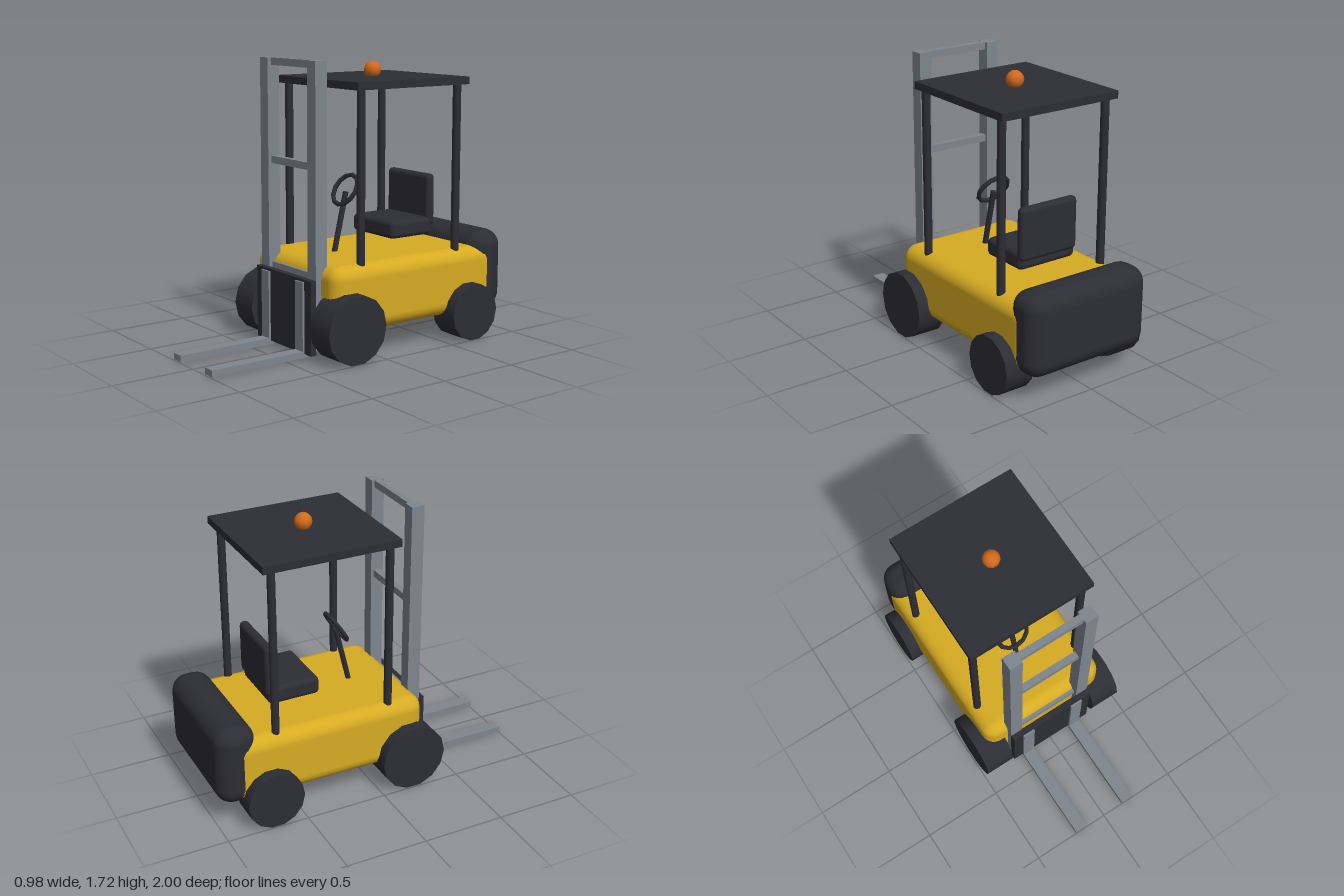
import * as THREE from 'three';
import { RoundedBoxGeometry } from 'three/addons/geometries/RoundedBoxGeometry.js';

const material = (name, color) => {
  const m = new THREE.MeshStandardMaterial({ color });
  m.name = name;
  return m;
};

export function createModel() {
  const model = new THREE.Group();
  model.name = 'forklift';
  const yellow = material('yellow paint', 0xd6ab22);
  const dark = material('dark rubber and trim', 0x2d2d35);
  const steel = material('grey steel', 0x7e868f);
  const orange = material('orange lamp', 0xd2691e);

  const add = (name, geometry, mat, x = 0, y = 0, z = 0) => {
    const mesh = new THREE.Mesh(geometry, mat);
    mesh.name = name;
    mesh.position.set(x, y, z);
    model.add(mesh);
    return mesh;
  };
  // Boxes are given by their lower and upper limits on each axis
  const box = (name, mat, [x0, x1], [y0, y1], [z0, z1], radius = 0, segments = 3) => {
    const size = [x1 - x0, y1 - y0, z1 - z0];
    const geometry = radius
      ? new RoundedBoxGeometry(...size, segments, radius)
      : new THREE.BoxGeometry(...size);
    return add(name, geometry, mat, (x0 + x1) / 2, (y0 + y1) / 2, (z0 + z1) / 2);
  };

  // Chassis and rear counterweight
  box('body', yellow, [-0.42, 0.42], [0.155, 0.56], [-0.92, 0.31], 0.085);
  box('counterweight', dark, [-0.418, 0.418], [0.15, 0.645], [-1, -0.755], 0.1);

  // Seat
  box('seatCushion', dark, [-0.2, 0.2], [0.625, 0.735], [-0.595, -0.273], 0.03, 2);
  box('seatBack', dark, [-0.2, 0.2], [0.68, 1.0], [-0.612, -0.552], 0.028, 2);

  // Steering column and wheel
  const foot = new THREE.Vector3(0, 0.55, 0.012);
  const head = new THREE.Vector3(0, 0.915, -0.074);
  const axis = head.clone().sub(foot);
  const column = add('steeringColumn', new THREE.CylinderGeometry(0.017, 0.017, axis.length(), 8), dark);
  column.position.copy(foot).add(head).multiplyScalar(0.5);
  column.quaternion.setFromUnitVectors(new THREE.Vector3(0, 1, 0), axis.normalize());
  const steering = add('steeringWheel', new THREE.TorusGeometry(0.1, 0.014, 6, 12), dark, 0, 0.927, -0.07);
  steering.rotation.x = -0.55;

  // Overhead guard with warning lamp
  box('roof', dark, [-0.4, 0.4], [1.555, 1.6], [-0.693, 0.143]);
  add('warningLamp', new THREE.SphereGeometry(0.053, 10, 8), orange, 0, 1.637, -0.273);

  // Mast cross bars and fork carriage
  for (const y of [0.46, 1.098, 1.677]) {
    box('mastCrossBar', steel, [-0.2, 0.2], [y, y + 0.043], [0.285, 0.325]);
  }
  box('carriage', dark, [-0.28, 0.28], [0.035, 0.475], [0.345, 0.383]);

  for (const side of [-1, 1]) {
    const span = (a, b) => (side > 0 ? [a, b] : [-b, -a]);

    // Wheels
    for (const [name, radius, z] of [['frontWheel', 0.205, 0.205], ['rearWheel', 0.175, -0.69]]) {
      const wheel = new THREE.CylinderGeometry(radius, radius, 0.187, 14);
      wheel.rotateZ(Math.PI / 2);
      add(name, wheel, dark, side * 0.3985, radius, z);
    }

    // Roof posts
    for (const z of [0.088, -0.632]) {
      add('roofPost', new THREE.CylinderGeometry(0.025, 0.025, 1.02, 8), dark, side * 0.36, 1.05, z);
    }

    // Mast rail and fork
    box('mastRail', steel, span(0.2, 0.28), [0.06, 1.72], [0.268, 0.348]);
    box('forkShank', steel, span(0.137, 0.215), [0.012, 0.46], [0.36, 0.395]);
    box('forkTine', steel, span(0.137, 0.215), [0.012, 0.05], [0.36, 1]);
  }
  return model;
}
